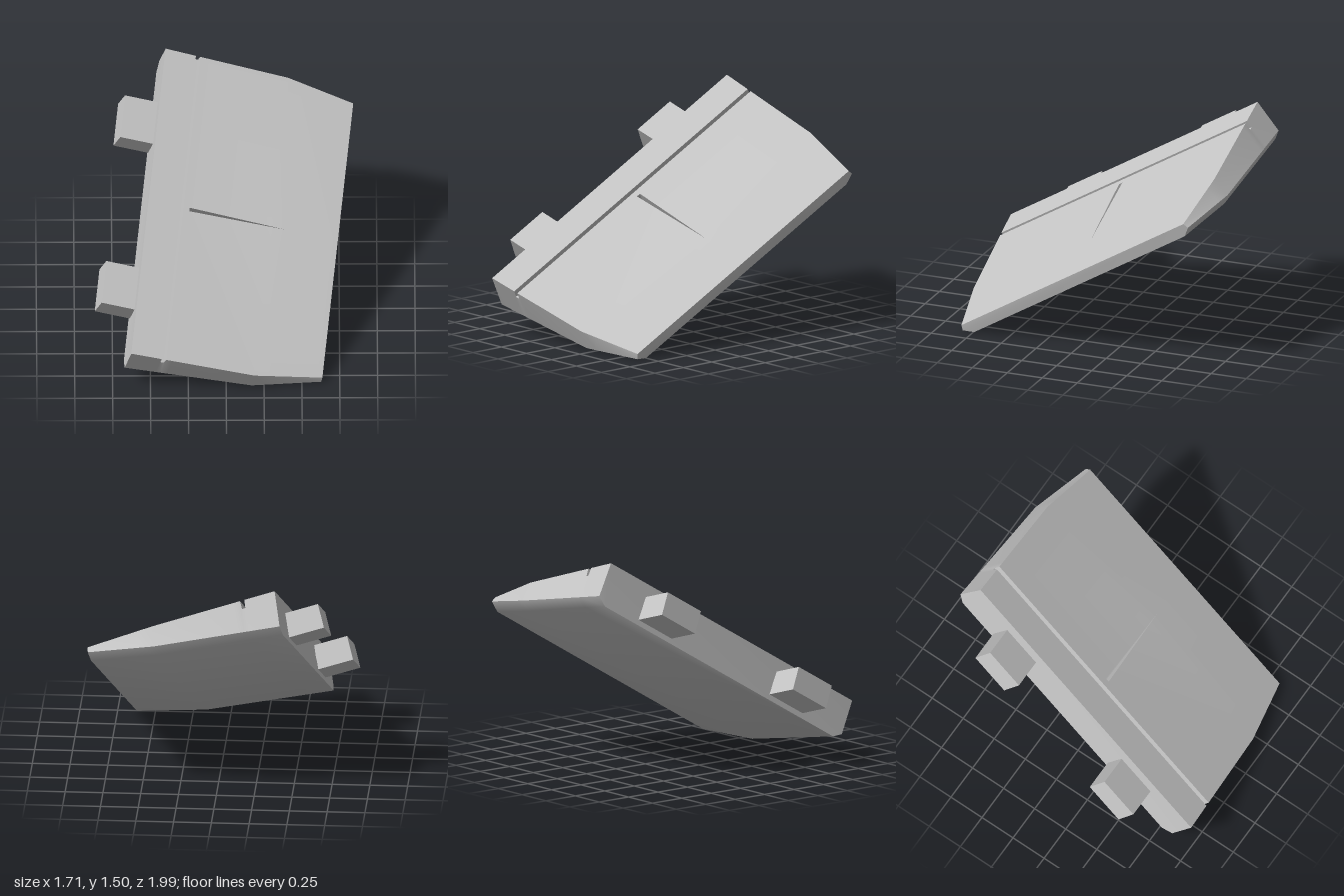
import * as THREE from 'three';
import { toCreasedNormals } from 'three/addons/utils/BufferGeometryUtils.js';

// Local axes: x = across the flap, y = out of its face, z = along its length
const KEYS = [0, 0.85, 1.309];
const along = (u, values) => {
  const i = u < KEYS[1] ? 0 : 1;
  return THREE.MathUtils.lerp(values[i], values[i + 1], (u - KEYS[i]) / (KEYS[i + 1] - KEYS[i]));
};

// One closed cross-section; groove lowers the whole top, slit opens a notch in its middle
function section({ u, groove = 0, slit = 0, depth = 0 }) {
  const top = along(u, [1.096, 1.07, 0.985]);
  const side = along(u, [1.102, 1.085, 1.0]);
  const thick = along(u, [0.24, 0.137, 0.036]);
  const low = u + along(u, [0.025, 0.02, 0.005]);
  const p = (x, y, z) => new THREE.Vector3(x, y, z);
  return [
    p(u, -groove, -top), p(u, -groove, -slit), p(u, -groove - depth, -slit),
    p(u, -groove - depth, slit), p(u, -groove, slit), p(u, -groove, top),
    p(low, -thick, side), p(low, -thick - 0.046, side - 0.065),
    p(low, -thick - 0.046, -side + 0.065), p(low, -thick, -side),
  ];
}

function flapGeometry() {
  const sections = [
    { u: 0 }, { u: 0.21 },
    { u: 0.21, groove: 0.055 }, { u: 0.24, groove: 0.055 },
    { u: 0.24 }, { u: 0.284 },
    { u: 0.284, slit: 0.014, depth: 0.06 },
    { u: 0.85, slit: 0.0021, depth: 0.009 },
    { u: 0.95 }, { u: 1.309 },
  ].map(section);
  const positions = [];
  const tri = (a, b, c) => {
    const area = b.clone().sub(a).cross(c.clone().sub(a)).length();
    if (area > 1e-8) [a, b, c].forEach((v) => positions.push(v.x, v.y, v.z));
  };
  // Skin between neighbouring sections
  for (let i = 0; i < sections.length - 1; i++) {
    const s = sections[i], t = sections[i + 1], n = s.length;
    for (let j = 0; j < n; j++) {
      const k = (j + 1) % n;
      tri(s[j], s[k], t[k]);
      tri(s[j], t[k], t[j]);
    }
  }
  // Root and tip faces
  const root = sections[0], tip = sections[sections.length - 1];
  for (let j = 1; j < root.length - 1; j++) {
    tri(root[0], root[j + 1], root[j]);
    tri(tip[0], tip[j], tip[j + 1]);
  }
  const geometry = new THREE.BufferGeometry();
  geometry.setAttribute('position', new THREE.Float32BufferAttribute(positions, 3));
  return toCreasedNormals(geometry, 0.75);
}

export function createModel() {
  const model = new THREE.Group();
  model.name = 'hingedFlap';
  const grey = new THREE.MeshStandardMaterial({ color: 0xc4c4c4 });
  grey.name = 'light grey';

  // Tapered slab with a groove and a wedge slit
  const flap = new THREE.Mesh(flapGeometry(), grey);
  flap.name = 'flap';

  const tilted = new THREE.Group();
  tilted.name = 'tiltedFlap';
  tilted.add(flap);

  // Two mounting pegs on the thick edge
  for (const [name, z] of [['rearPeg', -0.595], ['frontPeg', 0.595]]) {
    const peg = new THREE.Mesh(new THREE.BoxGeometry(0.258, 0.165, 0.3), grey);
    peg.name = name;
    peg.position.set(-0.089, -0.168, z);
    tilted.add(peg);
  }

  // Lean the whole part
  const across = new THREE.Vector3(0.955, -0.29, -0.057).normalize();
  const length = new THREE.Vector3(-0.1095, -0.518, 0.8486);
  const out = length.clone().cross(across).normalize();
  length.crossVectors(across, out);
  tilted.quaternion.setFromRotationMatrix(new THREE.Matrix4().makeBasis(across, out, length));
  tilted.position.set(-0.51, 0.9375, 0.07);
  model.add(tilted);
  return model;
}
